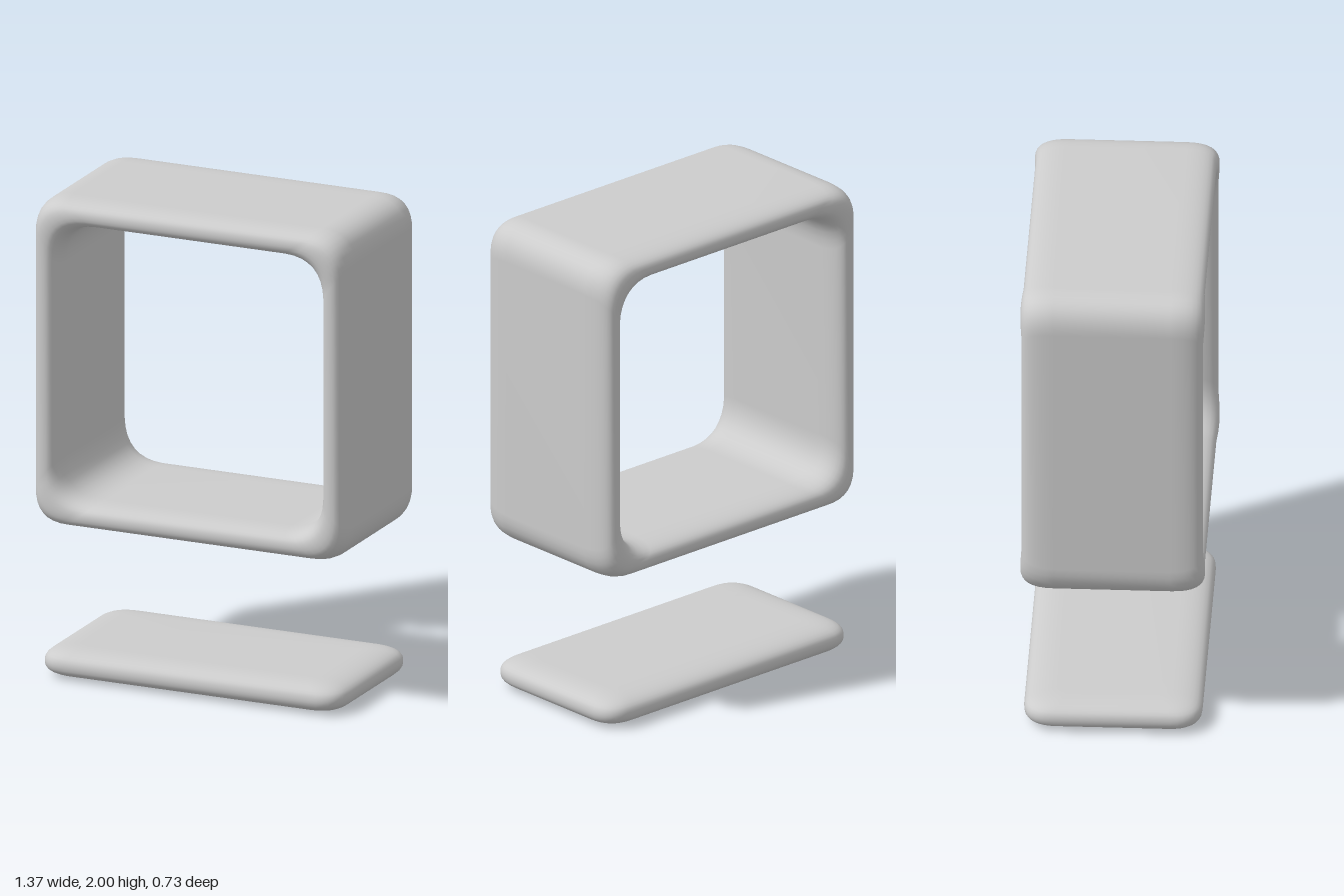
import * as THREE from 'three';

const STEPS = 8; // segments per rounded corner

// Counter-clockwise rectangle with soft corners reaching ex / ey along its sides
function outline(hw, hh, ex, ey = ex) {
  const points = [];
  for (const [sx, sy] of [[1, 1], [-1, 1], [-1, -1], [1, -1]]) {
    const onSide = new THREE.Vector2(sx * hw, sy * (hh - ey));
    const onEnd = new THREE.Vector2(sx * (hw - ex), sy * hh);
    const corner = new THREE.Vector2(sx * hw, sy * hh);
    const [a, b] = sx * sy > 0 ? [onSide, onEnd] : [onEnd, onSide];
    points.push(...new THREE.QuadraticBezierCurve(a, corner, b).getPoints(STEPS));
  }
  return points;
}

// Smooth skin over equal-length rings of Vector3; closed joins last ring to first
function loft(rings, closed) {
  const n = rings[0].length;
  const index = [];
  const spans = closed ? rings.length : rings.length - 1;
  for (let k = 0; k < spans; k++) {
    const k2 = (k + 1) % rings.length;
    for (let i = 0; i < n; i++) {
      const j = (i + 1) % n;
      const a = k * n + i, b = k * n + j, c = k2 * n + j, d = k2 * n + i;
      index.push(a, b, c, a, c, d);
    }
  }
  const geometry = new THREE.BufferGeometry().setFromPoints(rings.flat());
  geometry.setIndex(index);
  geometry.computeVertexNormals();
  return geometry;
}

// Square tube: a soft-ended wall section carried round a soft-cornered square
function frameGeometry() {
  const wall = 0.055;
  const rings = outline(wall, 0.36, 0.05, 0.13).map(({ x: s, y: z }) => {
    const extent = THREE.MathUtils.mapLinear(s, -wall, wall, 0.17, 0.14);
    return outline(0.63 + s, 0.6275 + s, extent).map((p, i) => {
      // the rim swells slightly at the corners
      const swell = 1 + 0.02 * Math.sin(Math.PI * (i % (STEPS + 1)) / STEPS);
      return new THREE.Vector3(p.x, p.y, z * swell);
    });
  });
  return loft(rings, true);
}

// Flat slab with tapered, rounded edges
function slabGeometry() {
  const edge = 0.14, half = 0.06;
  const section = outline(edge, half, edge, 0.055);
  const n = STEPS + 1;
  const profile = [...section.slice(-n), ...section.slice(0, n)];
  const ring = (hw, hh, e, z) => outline(hw, hh, e).map((p) => new THREE.Vector3(p.x, p.y, z));
  const rings = [
    ring(0, 0, 0, -half),
    ...profile.map((p) => ring(0.66 - edge + p.x, 0.355 - edge + p.x, 0.04 + 0.6 * p.x, p.y)),
    ring(0, 0, 0, half),
  ];
  return loft(rings, false).rotateX(-Math.PI / 2);
}

export function createModel() {
  const group = new THREE.Group();
  const grey = new THREE.MeshStandardMaterial({ color: 0xcccccc });
  grey.name = 'light grey';

  const frame = new THREE.Mesh(frameGeometry(), grey);
  frame.name = 'squareFrame';
  frame.position.y = 1.3175;

  const slab = new THREE.Mesh(slabGeometry(), grey);
  slab.name = 'baseSlab';
  slab.position.y = 0.06;

  group.add(frame, slab);
  return group;
}
